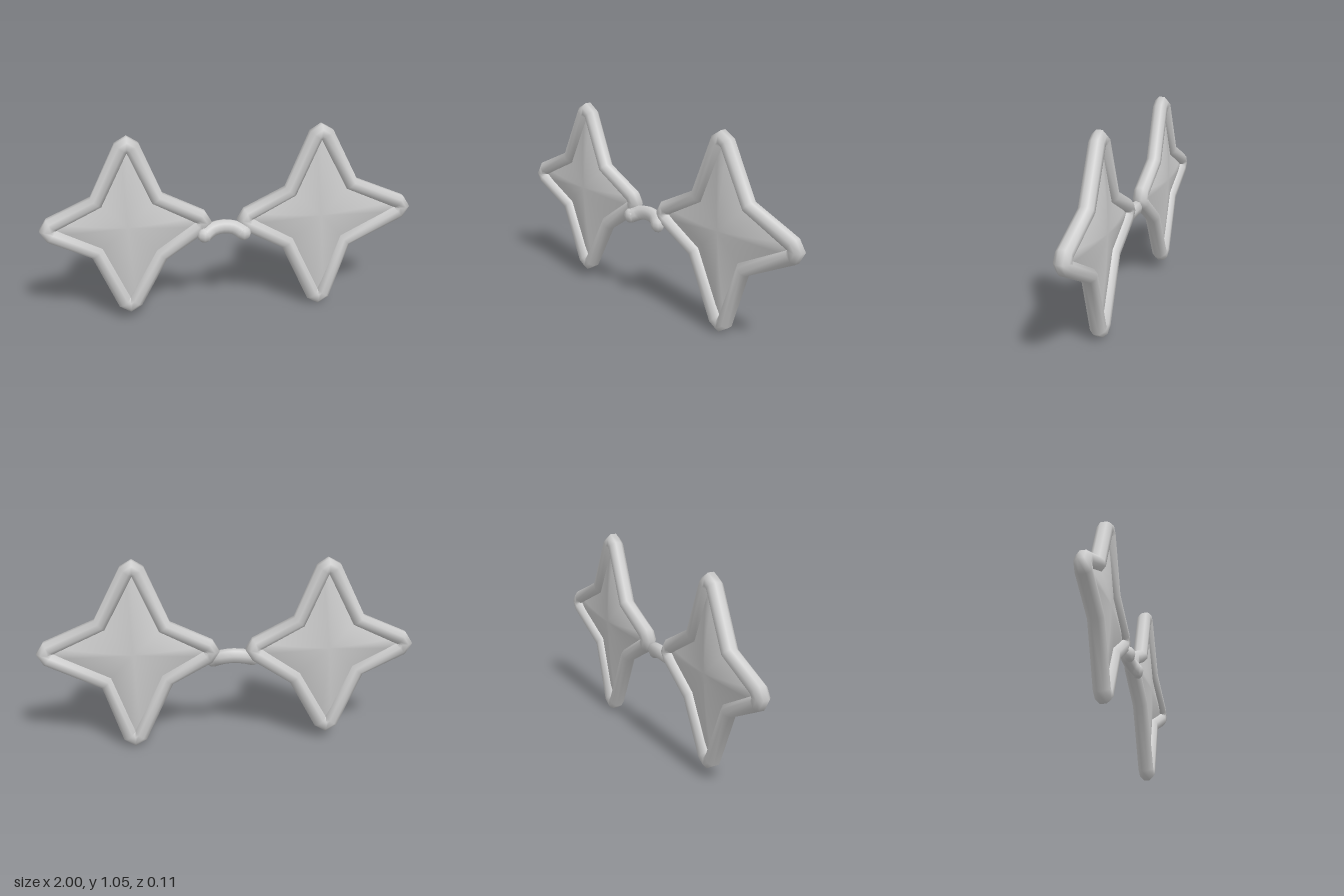
import * as THREE from 'three';

const grey = new THREE.MeshStandardMaterial({ color: 0xcccccc, side: THREE.DoubleSide });
grey.name = 'light grey';
const Z = -0.013, DEPTH = 0.039, SIDES = 8;
const V = (x, y) => new THREE.Vector2(x, y);

function meshFrom(positions, indices, name) {
  const g = new THREE.BufferGeometry();
  g.setAttribute('position', new THREE.Float32BufferAttribute(positions, 3));
  g.setIndex(indices);
  g.computeVertexNormals();
  const m = new THREE.Mesh(g, grey);
  m.name = name;
  return m;
}

// Pairs of outer and inner rim points, clockwise; every tip is blunted to three points
function rimPairs(outline, centre) {
  const pairs = [];
  outline.forEach(([x, y], i) => {
    const p = V(x, y), inward = centre.clone().sub(p).normalize();
    if (i % 2) {
      pairs.push([p, p.clone().addScaledVector(inward, 0.074)]);
      return;
    }
    const inner = p.clone().addScaledVector(inward, 0.085);
    const across = V(inward.y, -inward.x);
    for (const s of [-1, 0, 1]) {
      const o = p.clone();
      if (s) o.addScaledVector(inward, 0.037).addScaledVector(across, -s * 0.061);
      pairs.push([o, inner]);
    }
  });
  return pairs;
}

// Eight-sided rim swept round the star
function makeRim(pairs, name) {
  const pos = [], idx = [], n = pairs.length, k = 1 / Math.cos(Math.PI / SIDES);
  pairs.forEach(([o, q], i) => {
    const mid = o.clone().add(q).multiplyScalar(0.5), half = o.clone().sub(mid);
    for (let j = 0; j < SIDES; j++) {
      const a = ((j + 0.5) / SIDES) * Math.PI * 2, c = Math.cos(a) * k;
      pos.push(mid.x + half.x * c, mid.y + half.y * c, Z + DEPTH * k * Math.sin(a));
      const i2 = (i + 1) % n, j2 = (j + 1) % SIDES;
      const A = i * SIDES + j, B = i * SIDES + j2, C = i2 * SIDES + j, D = i2 * SIDES + j2;
      idx.push(A, B, C, B, D, C);
    }
  });
  return meshFrom(pos, idx, name);
}

// One domed face of the cushion-shaped lens, in rings from the centre to the rim
function makeLensFace(pairs, centre, bulge, name) {
  const pos = [centre.x, centre.y, Z + bulge], idx = [], n = pairs.length, rings = 6;
  const tri = (a, b, c) => (bulge > 0 ? idx.push(a, b, c) : idx.push(a, c, b));
  for (let r = 1; r <= rings; r++) {
    const t = r / rings;
    pairs.forEach(([o, q], i) => {
      const p = centre.clone().lerp(o.clone().add(q).multiplyScalar(0.5), t);
      pos.push(p.x, p.y, Z + bulge * (1 - t * t));
      const next = (i + 1) % n, base = 1 + (r - 1) * n;
      if (r === 1) {
        tri(0, 1 + next, 1 + i);
      } else {
        tri(base - n + i, base - n + next, base + i);
        tri(base - n + next, base + next, base + i);
      }
    });
  }
  return meshFrom(pos, idx, name);
}

// Bridge tube with blunt ends that hook forward
function makeBridge() {
  const g = new THREE.Group(), r = 0.041, flat = 0.8;
  g.name = 'bridge';
  const pts = [
    [-0.142, 0.478, 0.022], [-0.1, 0.498, -0.002], [-0.035, 0.508, -0.01],
    [0.03, 0.498, -0.002], [0.07, 0.476, 0.022],
  ].map(([x, y, z]) => new THREE.Vector3(x, y, z / flat));
  const tube = new THREE.Mesh(
    new THREE.TubeGeometry(new THREE.CatmullRomCurve3(pts), 8, r, 8).scale(1, 1, flat), grey);
  tube.name = 'bridgeTube';
  g.add(tube);
  for (const p of [pts[0], pts[4]]) {
    const end = new THREE.Mesh(new THREE.SphereGeometry(r, 8, 6).scale(1, 1, flat), grey);
    end.position.set(p.x, p.y, p.z * flat);
    end.name = 'bridgeEnd';
    g.add(end);
  }
  return g;
}

export function createModel() {
  const model = new THREE.Group();
  model.name = 'starGlasses';
  // tips and notches alternate, clockwise from the top
  const stars = {
    right: {
      centre: V(-0.545, 0.55),
      outline: [[-0.53, 1.04], [-0.357, 0.72], [-0.1, 0.543], [-0.343, 0.346],
        [-0.548, 0.045], [-0.737, 0.383], [-1, 0.555], [-0.73, 0.72]],
    },
    left: {
      centre: V(0.495, 0.545),
      outline: [[0.487, 1.052], [0.692, 0.733], [1, 0.556], [0.667, 0.351],
        [0.502, 0], [0.29, 0.362], [0.04, 0.54], [0.3, 0.71]],
    },
  };
  for (const [side, { centre, outline }] of Object.entries(stars)) {
    const pairs = rimPairs(outline, centre);
    model.add(
      makeRim(pairs, side + 'Rim'),
      makeLensFace(pairs, centre, 0.035, side + 'LensFront'),
      makeLensFace(pairs, centre, -0.041, side + 'LensBack'),
    );
  }
  model.add(makeBridge());
  return model;
}
